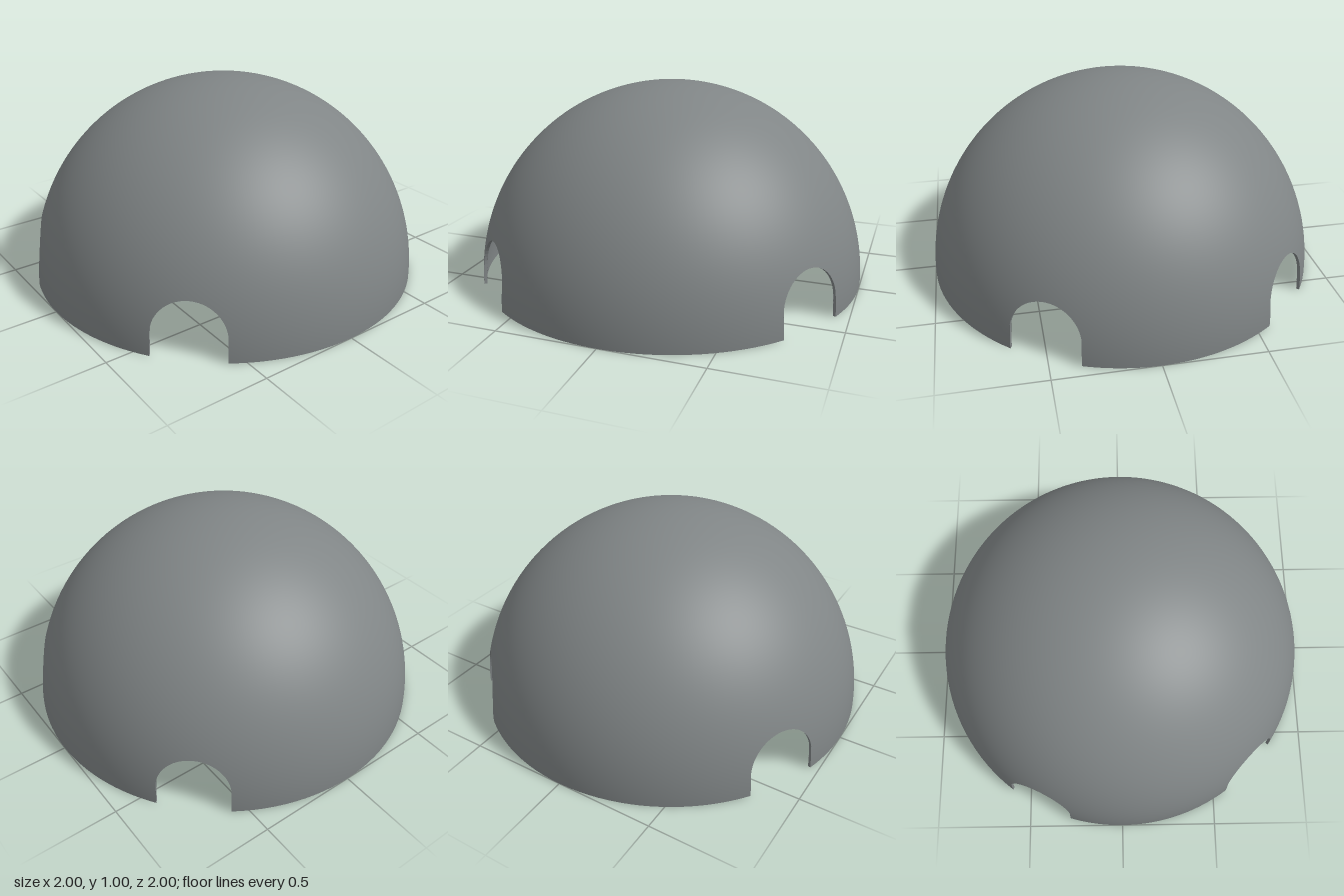
import * as THREE from 'three';

const OUTER = 1, INNER = 0.985;          // shell radii
const HALF = 0.178, SPRING = 0.107;      // doorway half width and height where its arch begins
const DOORS = [-45, 31, 135, 206.6].map(THREE.MathUtils.degToRad);
const ARCH_STEPS = 28, WALL_STEPS = 30, LOW_ROWS = 14, HIGH_ROWS = 34;
const BAND = 0.34;                       // latitude just above the doorways

// Lower edge of the shell as a closed loop of { azimuth, y }
function edgeLoop(radius) {
  const loop = [];
  DOORS.forEach((door, d) => {
    for (let i = 0; i <= ARCH_STEPS; i++) {
      const t = Math.PI * (1 - i / ARCH_STEPS);
      const y = SPRING + HALF * Math.sin(t);
      loop.push({ az: door + Math.asin(HALF * Math.cos(t) / Math.sqrt(radius * radius - y * y)), y });
    }
    const next = d + 1 < DOORS.length ? DOORS[d + 1] : DOORS[0] + Math.PI * 2;
    const jamb = Math.asin(HALF / radius);
    for (let i = 0; i <= WALL_STEPS; i++) {
      loop.push({ az: THREE.MathUtils.lerp(door + jamb, next - jamb, i / WALL_STEPS), y: 0 });
    }
  });
  return loop;
}

function spherePoint(radius, az, lat) {
  return new THREE.Vector3(Math.cos(az) * Math.cos(lat), Math.sin(lat), Math.sin(az) * Math.cos(lat)).multiplyScalar(radius);
}

// Spherical skin: one meridian column above every point of the lower edge
function skin(radius, facing) {
  const loop = edgeLoop(radius), rows = LOW_ROWS + HIGH_ROWS;
  const pos = [], nor = [], index = [];
  for (const { az, y } of loop) {
    const start = Math.asin(y / radius);
    for (let r = 0; r <= rows; r++) {
      const lat = r < LOW_ROWS
        ? THREE.MathUtils.lerp(start, BAND, r / LOW_ROWS)
        : THREE.MathUtils.lerp(BAND, Math.PI / 2, (r - LOW_ROWS) / HIGH_ROWS);
      const p = spherePoint(radius, az, lat);
      pos.push(p.x, p.y, p.z);
      p.multiplyScalar(facing / radius);
      nor.push(p.x, p.y, p.z);
    }
  }
  for (let c = 0; c < loop.length; c++) {
    for (let r = 0; r < rows; r++) {
      const a = c * (rows + 1) + r, b = ((c + 1) % loop.length) * (rows + 1) + r;
      if (facing > 0) index.push(a, a + 1, b, b, a + 1, b + 1);
      else index.push(a, b, a + 1, b, b + 1, a + 1);
    }
  }
  const geo = new THREE.BufferGeometry();
  geo.setAttribute('position', new THREE.Float32BufferAttribute(pos, 3));
  geo.setAttribute('normal', new THREE.Float32BufferAttribute(nor, 3));
  geo.setIndex(index);
  return geo;
}

// Thin edge joining the two skins along the ground and round each doorway
function rim() {
  const [out, inn] = [OUTER, INNER].map(r => edgeLoop(r).map(e => spherePoint(r, e.az, Math.asin(e.y / r))));
  const points = [];
  out.forEach((p, i) => {
    const j = (i + 1) % out.length;
    points.push(p, out[j], inn[i], out[j], inn[j], inn[i]);
  });
  const geo = new THREE.BufferGeometry().setFromPoints(points);
  geo.computeVertexNormals();
  return geo;
}

export function createModel() {
  const group = new THREE.Group();
  group.name = 'dome';
  const grey = new THREE.MeshStandardMaterial({ color: 0x808586 });
  grey.name = 'grey';
  const add = (name, geo) => {
    const mesh = new THREE.Mesh(geo, grey);
    mesh.name = name;
    group.add(mesh);
  };
  add('outerShell', skin(OUTER, 1));
  add('innerShell', skin(INNER, -1));
  add('doorwayAndBaseRim', rim());
  return group;
}
